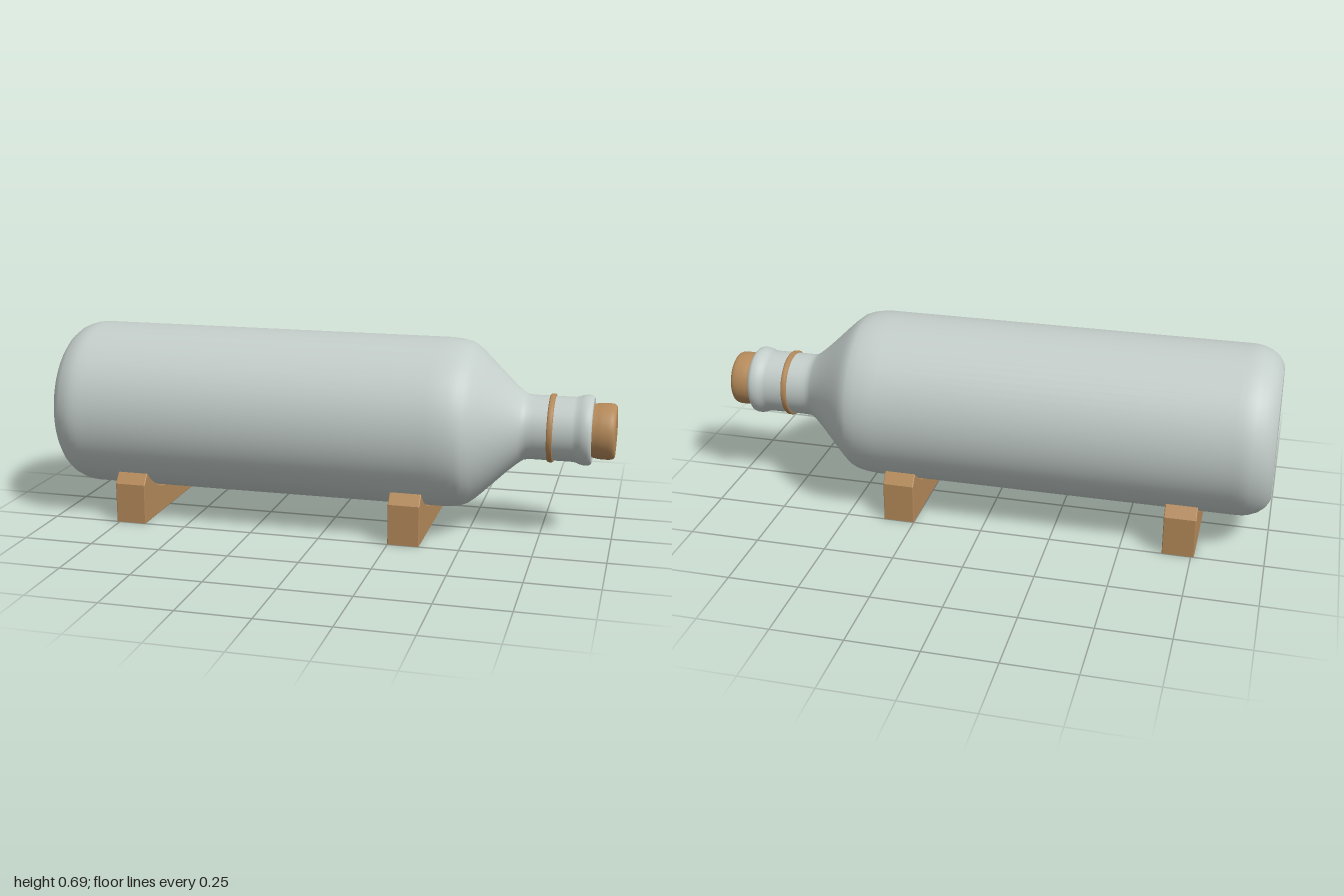
import * as THREE from 'three';

const AXIS_Y = 0.39; // height of the bottle's axis
const BODY_R = 0.3;

export function createModel() {
  const glass = new THREE.MeshStandardMaterial({ color: 0xc3cdc9 });
  glass.name = 'pale glass';
  const wood = new THREE.MeshStandardMaterial({ color: 0xb58a5a });
  wood.name = 'warm wood';

  const model = new THREE.Group();
  model.name = 'bottleOnCradles';
  const bottle = new THREE.Group();
  bottle.name = 'bottle';
  bottle.position.y = AXIS_Y;
  bottle.rotation.z = -Math.PI / 2; // lathe axis points along +x
  model.add(bottle);

  // Turned part from [radius, position along the axis] pairs
  const turn = (name, points, material) => {
    const profile = points.map(([r, a]) => new THREE.Vector2(r, a));
    const mesh = new THREE.Mesh(new THREE.LatheGeometry(profile, 72), material);
    mesh.name = name;
    bottle.add(mesh);
  };

  // Bottle: flat base, then body, shoulder and neck in one smooth profile
  turn('base', [[0, -1], [0.232, -1]], glass);
  turn('body', [
    [0.232, -1], [0.247, -0.993], [0.265, -0.98], [0.282, -0.959], [0.294, -0.93],
    [0.2985, -0.91], [0.3, -0.89], [0.3, -0.87], [0.3, 0.38], [0.3, 0.41],
    [0.297, 0.45], [0.291, 0.48], [0.283, 0.5], [0.265, 0.523], [0.24, 0.55],
    [0.205, 0.586], [0.17, 0.622], [0.142, 0.653], [0.125, 0.674], [0.117, 0.686],
    [0.114, 0.7], [0.113, 0.72], [0.113, 0.855], [0.115, 0.868], [0.12, 0.88],
    [0.123, 0.893], [0.123, 0.906], [0.12, 0.915], [0.114, 0.92],
  ], glass);
  turn('mouthRim', [[0.114, 0.92], [0.09, 0.92]], glass);

  // Thin ring around the neck
  turn('neckRing', [
    [0.111, 0.769], [0.117, 0.769], [0.12, 0.773], [0.12, 0.785], [0.117, 0.789], [0.111, 0.789],
  ], wood);

  // Stopper with a softly rounded end
  turn('stopper', [
    [0.094, 0.9], [0.094, 0.925], [0.097, 0.94], [0.098, 0.955], [0.098, 0.975],
    [0.0965, 0.987], [0.093, 0.994], [0.087, 0.998],
  ], wood);
  turn('stopperEnd', [[0.087, 0.998], [0.05, 1], [0, 1]], wood);

  // Cradles: chamfered blocks with a round seat for the body
  const bevel = 0.003;
  const half = 0.25 - bevel;
  const top = 0.18 - bevel;
  const seatR = BODY_R + 0.002 + bevel;
  const start = Math.asin((top - AXIS_Y) / seatR);
  const shape = new THREE.Shape();
  shape.moveTo(-half, bevel);
  shape.lineTo(half, bevel);
  shape.lineTo(half, 0.143);
  shape.lineTo(0.219, top);
  shape.absarc(0, AXIS_Y, seatR, start, -Math.PI - start, true);
  shape.lineTo(-0.219, top);
  shape.lineTo(-half, 0.143);
  shape.closePath();
  const width = 0.112;
  const cradleGeometry = new THREE.ExtrudeGeometry(shape, {
    depth: width - 2 * bevel, curveSegments: 32,
    bevelThickness: bevel, bevelSize: bevel, bevelSegments: 2,
  });
  cradleGeometry.translate(0, 0, bevel - width / 2);
  cradleGeometry.rotateY(Math.PI / 2);
  for (const [name, x] of [['rearCradle', -0.705], ['neckCradle', 0.305]]) {
    const cradle = new THREE.Mesh(cradleGeometry, wood);
    cradle.name = name;
    cradle.position.x = x;
    model.add(cradle);
  }

  return model;
}
